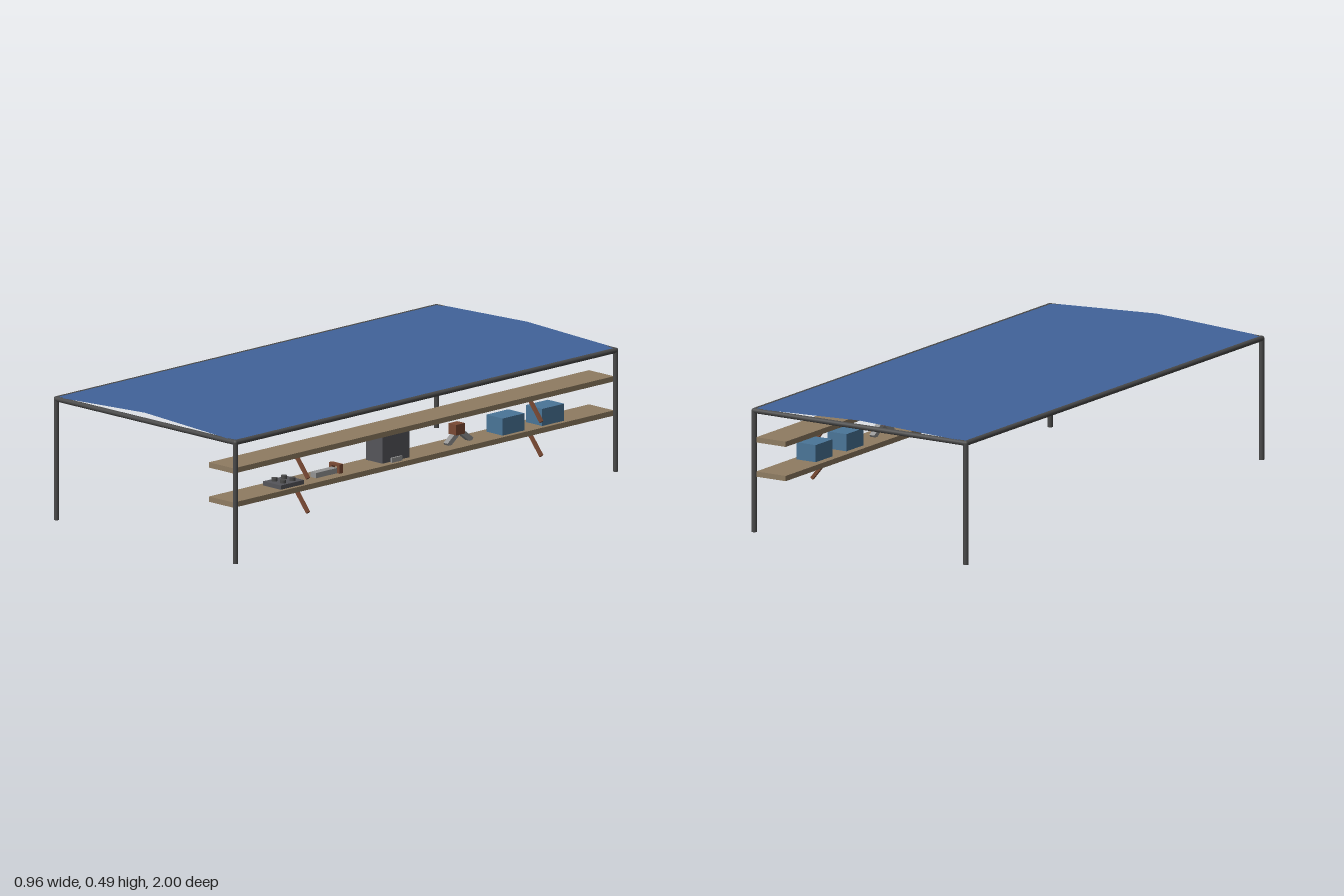
import * as THREE from 'three';

function mat(name, color, side = THREE.FrontSide) {
  const m = new THREE.MeshStandardMaterial({ color, side });
  m.name = name;
  return m;
}

export function createModel() {
  const group = new THREE.Group();
  const steel = mat('dark steel', 0x4a4a4a);
  const canvas = mat('blue canvas', 0x41639a, THREE.DoubleSide);
  const wood = mat('shelf wood', 0x8f7c62);
  const brown = mat('brown wood', 0x7a4a34);
  const charcoal = mat('charcoal', 0x55555a);
  const silver = mat('light metal', 0x949494);
  const blue = mat('bin blue', 0x4a7598);

  const add = (name, geo, material, x = 0, y = 0, z = 0) => {
    const mesh = new THREE.Mesh(geo, material);
    mesh.name = name;
    mesh.position.set(x, y, z);
    group.add(mesh);
    return mesh;
  };
  const box = (name, m, w, h, d, x, y, z) => add(name, new THREE.BoxGeometry(w, h, d), m, x, y, z);

  // Round pipe between two points
  const pipe = (name, m, a, b, r) => {
    const p = new THREE.Vector3(...a), q = new THREE.Vector3(...b);
    const dir = q.clone().sub(p);
    const mesh = add(name, new THREE.CylinderGeometry(r, r, dir.length(), 12), m);
    mesh.position.copy(p).add(q).multiplyScalar(0.5);
    mesh.quaternion.setFromUnitVectors(new THREE.Vector3(0, 1, 0), dir.normalize());
    return mesh;
  };

  // Posts, elbows and top rails
  const X = 0.468, Z = 0.99, Y = 0.46, R = 0.01;
  for (const s of [-1, 1]) {
    for (const t of [-1, 1]) {
      pipe('post', steel, [s * X, 0, t * Z], [s * X, Y, t * Z], R);
      add('cornerJoint', new THREE.SphereGeometry(R, 12, 8), steel, s * X, Y, t * Z);
    }
    pipe('sideRail', steel, [s * X, Y, -Z], [s * X, Y, Z], R);
    pipe('endRail', steel, [-X, Y, s * Z], [X, Y, s * Z], R);
  }

  // Shallow ridged canopy, slightly higher at the front
  const roof = new THREE.PlaneGeometry(0.93, 1.99, 2, 2).rotateX(-Math.PI / 2);
  const pos = roof.attributes.position;
  for (let i = 0; i < pos.count; i++) {
    const ridge = 1 - Math.abs(pos.getX(i)) / 0.465;
    pos.setY(i, 0.468 + ridge * (0.02 + 0.003 * pos.getZ(i)));
  }
  roof.computeVertexNormals();
  add('canopy', roof, canvas);

  // Two long shelves with diagonal braces
  for (const y of [0.22, 0.35]) {
    box('shelf', wood, 0.13, 0.02, 1.98, 0.394, y, 0);
    for (const z of [0.61, -0.605]) {
      const brace = box('brace', brown, 0.012, 0.115, 0.012, 0.43, y - 0.05, z);
      brace.rotation.z = 0.69;
    }
  }

  // Two-by-two burner cooker
  box('cookerBase', charcoal, 0.092, 0.016, 0.12, 0.398, 0.238, 0.67);
  for (const x of [-0.022, 0.022])
    for (const z of [-0.025, 0.025])
      add('burner', new THREE.CylinderGeometry(0.012, 0.012, 0.012, 12), steel, 0.398 + x, 0.252, 0.67 + z);

  // Hand saw lying on the shelf with a looped handle
  box('sawBlade', silver, 0.03, 0.02, 0.11, 0.398, 0.24, 0.46);
  const grip = new THREE.Shape([[-0.028, 0], [0.028, 0], [0.028, 0.035], [-0.028, 0.035]].map(p => new THREE.Vector2(...p)));
  grip.holes.push(new THREE.Path([[-0.014, 0.01], [-0.014, 0.026], [0.014, 0.026], [0.014, 0.01]].map(p => new THREE.Vector2(...p))));
  add('sawHandle', new THREE.ExtrudeGeometry(grip, { depth: 0.016, bevelEnabled: false }), brown, 0.398, 0.23, 0.389);

  // Equipment cabinet with a small latch
  box('cabinet', charcoal, 0.086, 0.106, 0.14, 0.398, 0.287, 0.127);
  box('cabinetLatch', silver, 0.008, 0.018, 0.055, 0.444, 0.24, 0.127);

  // Block tool on two splayed legs
  box('toolBlock', brown, 0.04, 0.04, 0.045, 0.398, 0.285, -0.232);
  for (const s of [-1, 1]) {
    const leg = box('toolLeg', silver, 0.022, 0.02, 0.075, 0.398, 0.253, -0.241 + s * 0.032);
    leg.rotation.x = s * 0.65;
  }

  // Storage bins
  for (const z of [-0.486, -0.692]) box('storageBin', blue, 0.085, 0.065, 0.114, 0.398, 0.2625, z);

  return group;
}
